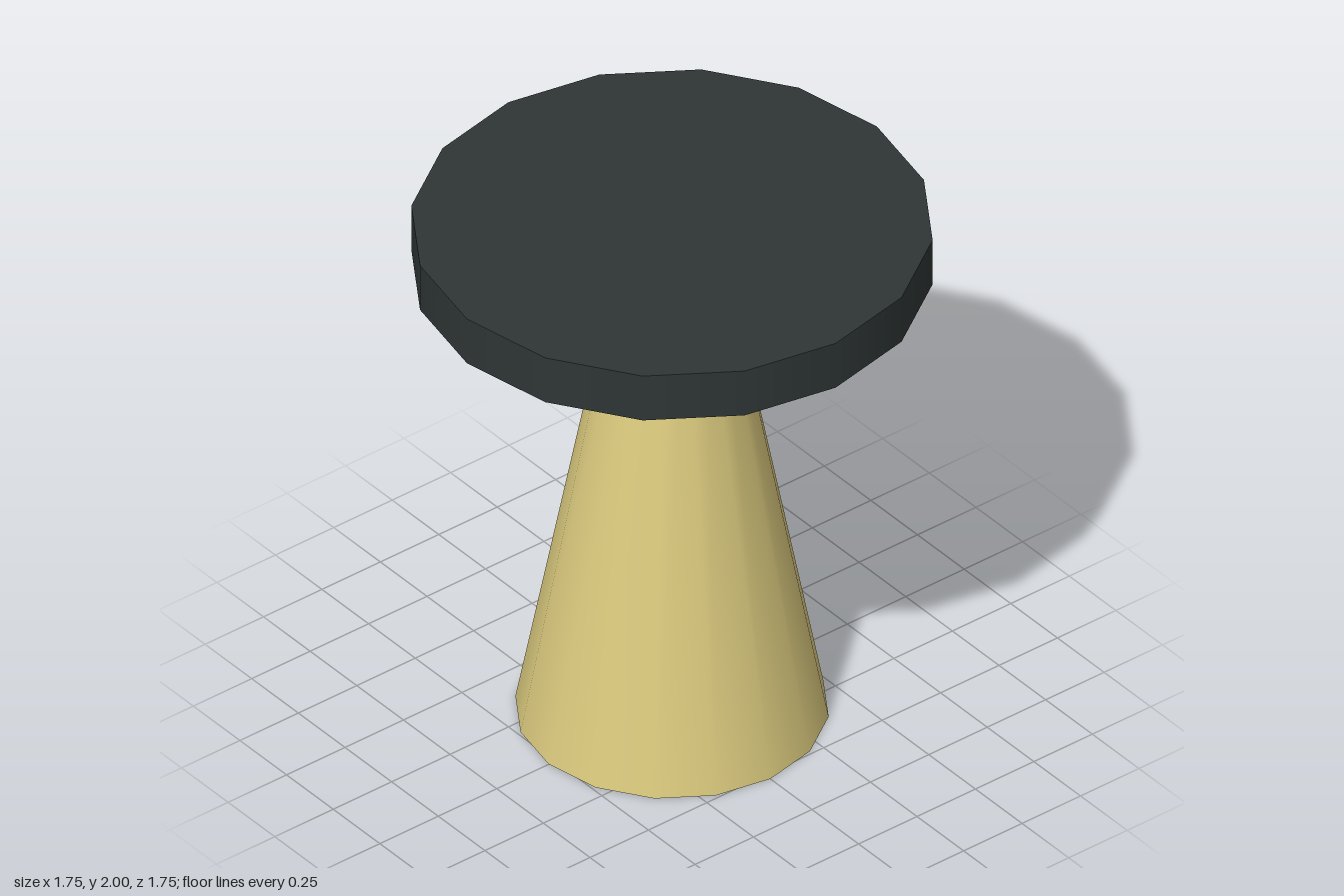
import * as THREE from 'three';

const SIDES = 16;

export function createModel() {
  const group = new THREE.Group();
  group.name = 'pedestalTable';

  const dark = new THREE.MeshStandardMaterial({ color: 0x2e3635 });
  dark.name = 'dark slate';
  const sand = new THREE.MeshStandardMaterial({ color: 0xdbca7e });
  sand.name = 'pale sand';

  // Smooth-sided round part standing between two heights
  const addRound = (name, topRadius, bottomRadius, y0, y1, material) => {
    const geometry = new THREE.CylinderGeometry(topRadius, bottomRadius, y1 - y0, SIDES);
    const mesh = new THREE.Mesh(geometry, material);
    mesh.name = name;
    mesh.position.y = (y0 + y1) / 2;
    group.add(mesh);
  };

  // Tapered foot, then the disc it carries
  addRound('pedestal', 0.185, 0.527, 0, 1.817, sand);
  addRound('tableTop', 0.877, 0.877, 1.817, 2, dark);

  return group;
}
